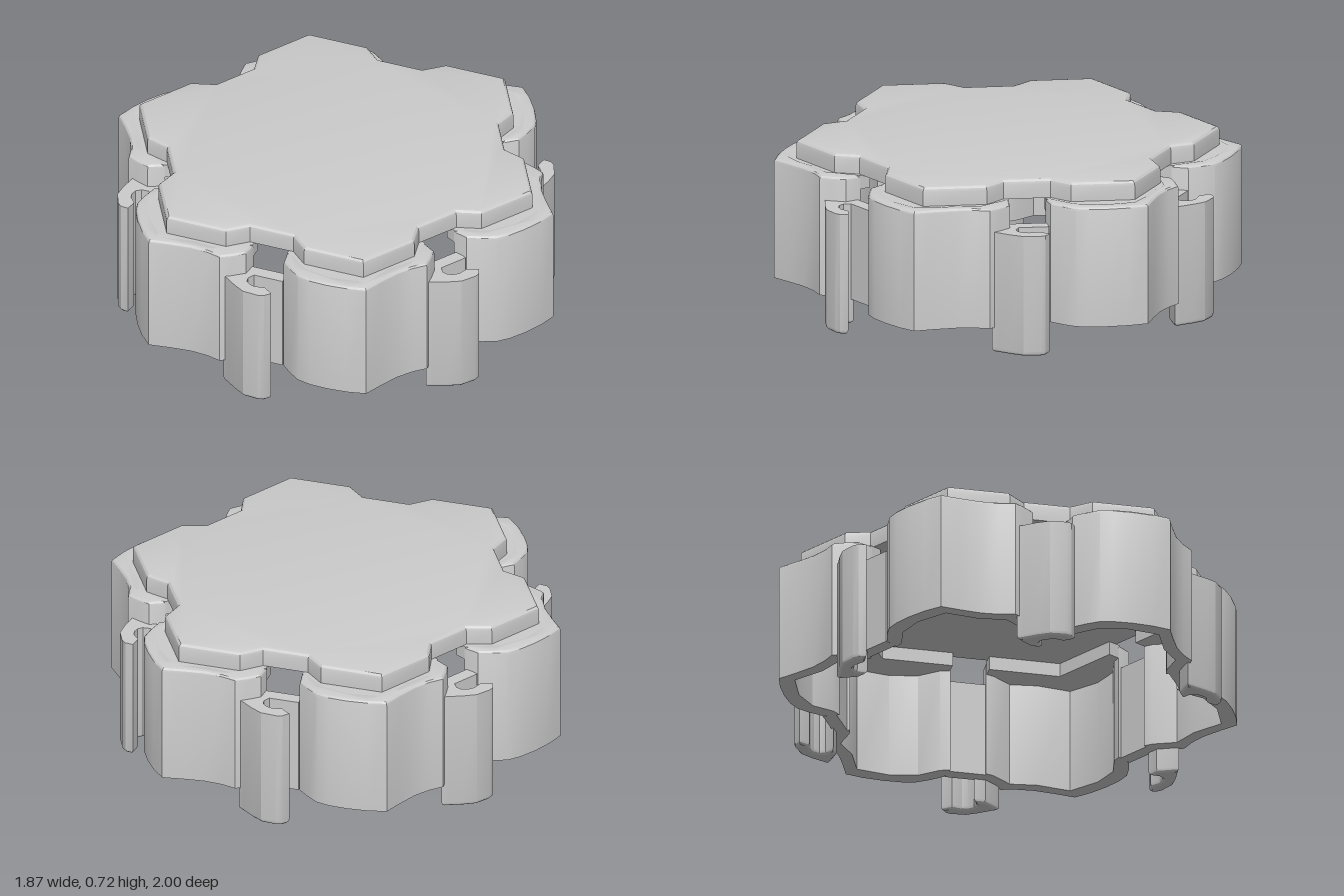
import * as THREE from 'three';
import { toCreasedNormals } from 'three/addons/utils/BufferGeometryUtils.js';

const STEP = Math.PI / 3;
const material = new THREE.MeshStandardMaterial({ color: 0xcccccc });
const points = list => list.map(([x, z]) => new THREE.Vector2(x, z));
const turned = (list, k) => points(list).map(p => p.rotateAround(new THREE.Vector2(), k * STEP));

// Move every side of a counter-clockwise outline inwards by d
function inset(outline, d) {
  const n = outline.length;
  return outline.map((p, i) => {
    const a = p.clone().sub(outline[(i + n - 1) % n]).normalize();
    const b = outline[(i + 1) % n].clone().sub(p).normalize();
    const na = new THREE.Vector2(-a.y, a.x), nb = new THREE.Vector2(-b.y, b.x);
    const miter = na.clone().add(nb);
    return p.clone().addScaledVector(miter, d / Math.max(1 + na.dot(nb), 0.4));
  });
}

// Upright prism over an (x, z) outline with optional rounded lower and upper rims
function prism(outline, y0, y1, lowRound = 0, topRound = 0) {
  if (THREE.ShapeUtils.isClockWise(outline)) outline = outline.slice().reverse();
  const layers = [];
  const arc = [0, 1, 2, 3].map(i => i * Math.PI / 6);
  if (lowRound) arc.forEach(t => layers.push([lowRound * (1 - Math.sin(t)), y0 + lowRound * (1 - Math.cos(t))]));
  else layers.push([0, y0]);
  if (topRound) arc.forEach(t => layers.push([topRound * (1 - Math.cos(t)), y1 - topRound * (1 - Math.sin(t))]));
  else layers.push([0, y1]);

  const rings = layers.map(([d, y]) => inset(outline, d).map(p => [p.x, y, p.y]));
  const pos = [];
  const tri = (a, b, c) => pos.push(...a, ...b, ...c);
  for (let l = 0; l < rings.length - 1; l++) {
    const low = rings[l], up = rings[l + 1];
    low.forEach((p, i) => {
      const j = (i + 1) % low.length;
      tri(p, up[i], low[j]);
      tri(low[j], up[i], up[j]);
    });
  }
  const top = rings[rings.length - 1];
  for (const [a, b, c] of THREE.ShapeUtils.triangulateShape(outline, [])) {
    tri(rings[0][a], rings[0][b], rings[0][c]);
    tri(top[a], top[c], top[b]);
  }
  const geometry = new THREE.BufferGeometry();
  geometry.setAttribute('position', new THREE.Float32BufferAttribute(pos, 3));
  return toCreasedNormals(geometry, 0.42);
}

export function createModel() {
  const model = new THREE.Group();
  model.name = 'hexagonalTile';

  // Raised top plate, notched in the middle of each side
  const plateSide = [[0.783, -0.18], [0.71, -0.1], [0.71, 0.1], [0.783, 0.18], [0.783, 0.452]];
  const plateOutline = [];
  for (let k = 0; k < 6; k++) plateOutline.push(...turned(plateSide, k));
  const plate = new THREE.Mesh(prism(plateOutline, 0.635, 0.72, 0, 0.022), material);
  plate.name = 'topPlate';
  model.add(plate);

  // Wall around one corner, from one clip to the next
  const wallOutline = [
    ...points([[0.735, 0.078], [0.795, 0.082], [0.835, 0.13], [0.865, 0.175], [0.848, 0.24], [0.842, 0.317], [0.852, 0.41], [0.866, 0.5]]),
    ...turned([[0.885, -0.42], [0.893, -0.33], [0.89, -0.25], [0.876, -0.19], [0.84, -0.14], [0.795, -0.09], [0.735, -0.078]], 1),
    ...turned([[0.722, -0.078], [0.735, -0.12], [0.805, -0.2], [0.83, -0.32]], 1),
    ...points([[0.806, 0.465], [0.784, 0.317], [0.8, 0.2], [0.735, 0.115], [0.722, 0.078]]),
  ];
  const wallGeometry = prism(wallOutline, 0.11, 0.638, 0, 0.018);

  // Flange inside the wall that carries the plate
  const flangeOutline = [
    ...points([[0.728, 0.08], [0.76, 0.12], [0.82, 0.19], [0.81, 0.317], [0.835, 0.482]]),
    ...turned([[0.86, -0.32], [0.83, -0.2], [0.76, -0.12], [0.728, -0.08], [0.67, -0.08]], 1),
    ...points([[0.67, 0.387], [0.67, 0.08]]),
  ];
  const flangeGeometry = prism(flangeOutline, 0.575, 0.636);

  // Clip: a web closing the wall gap and a hook curling outwards
  const webGeometry = prism(points([[0.735, -0.085], [0.795, -0.085], [0.795, 0.085], [0.735, 0.085]]), 0.11, 0.532);
  const hookOutline = points([
    [0.785, 0.04], [0.825, 0.06], [0.85, 0.055], [0.868, 0.035], [0.876, 0.01], [0.868, -0.035],
    [0.9, -0.077], [0.928, -0.055], [0.936, -0.03], [0.93, 0.04], [0.9, 0.09], [0.862, 0.14],
    [0.845, 0.165], [0.825, 0.145], [0.785, 0.09],
  ]);
  const hookGeometry = prism(hookOutline, 0, 0.532, 0.02);

  const parts = { cornerWall: wallGeometry, flange: flangeGeometry, clipWeb: webGeometry, clipHook: hookGeometry };
  for (let k = 0; k < 6; k++) {
    const side = new THREE.Group();
    side.name = `side${k + 1}`;
    for (const [name, geometry] of Object.entries(parts)) {
      const mesh = new THREE.Mesh(geometry, material);
      mesh.name = name;
      side.add(mesh);
    }
    side.rotation.y = -k * STEP;
    model.add(side);
  }
  return model;
}
